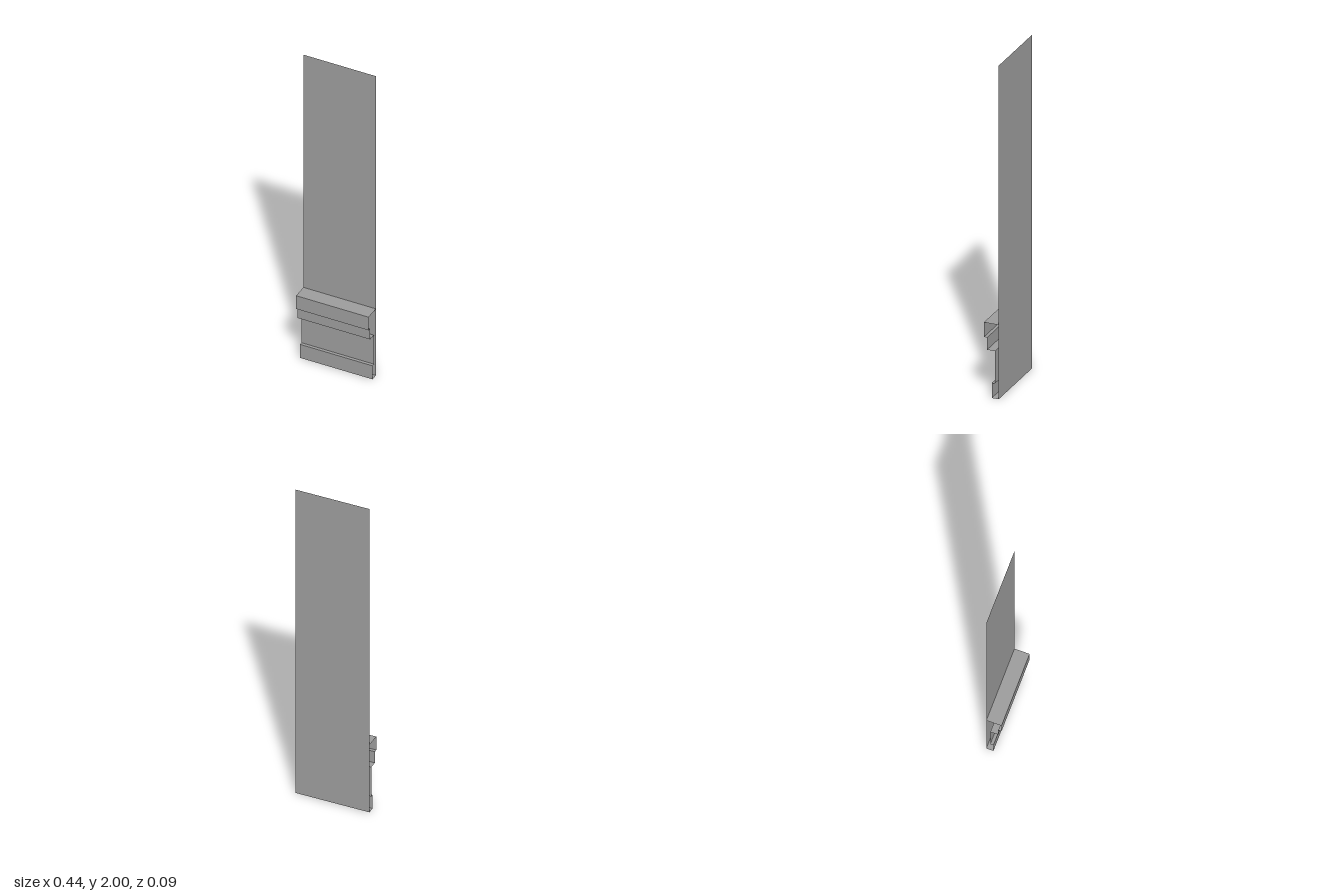
import * as THREE from 'three';

const HALF_WIDTH = 0.222;
const material = new THREE.MeshStandardMaterial({ color: 0x9c9c9c, side: THREE.DoubleSide });

// Sweeps a [z, y] outline across the width, leaving both ends open.
function sweep(name, outline) {
  const positions = [];
  for (let i = 0; i < outline.length - 1; i++) {
    const [az, ay] = outline[i];
    const [bz, by] = outline[i + 1];
    const aL = [-HALF_WIDTH, ay, az], aR = [HALF_WIDTH, ay, az];
    const bL = [-HALF_WIDTH, by, bz], bR = [HALF_WIDTH, by, bz];
    positions.push(...aL, ...bL, ...aR, ...aR, ...bL, ...bR);
  }
  const geometry = new THREE.BufferGeometry();
  geometry.setAttribute('position', new THREE.Float32BufferAttribute(positions, 3));
  geometry.computeVertexNormals();
  const mesh = new THREE.Mesh(geometry, material);
  mesh.name = name;
  return mesh;
}

export function createModel() {
  const group = new THREE.Group();
  group.name = 'wallPanel';
  const back = -0.044;

  // Tall flat sheet, running the full height behind the moulding
  group.add(sweep('backPanel', [[back, 0], [back, 2]]));

  // Projecting ledge with a smaller step beneath it
  group.add(sweep('ledge', [
    [back, 0.445], [0.044, 0.445], [0.044, 0.357], [0.025, 0.357], [0.025, 0.284], [-0.021, 0.284],
  ]));

  // Recessed band between ledge and base
  group.add(sweep('recessedBand', [[-0.021, 0.284], [-0.021, 0.09]]));

  // Skirting strip at the foot, with its underside
  group.add(sweep('baseStrip', [[-0.021, 0.09], [-0.003, 0.09], [-0.003, 0], [back, 0]]));

  return group;
}
